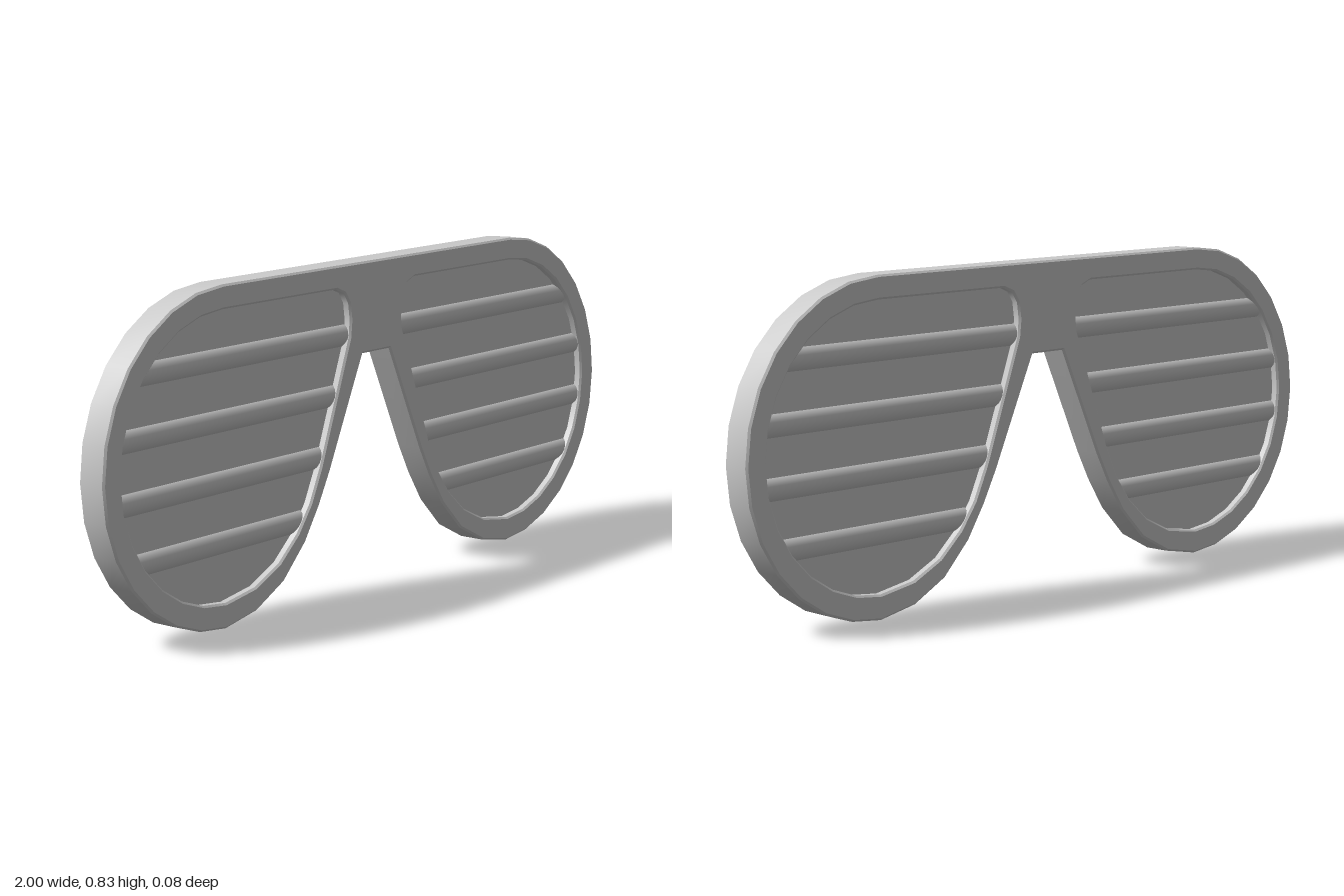
import * as THREE from 'three';
import { toCreasedNormals } from 'three/addons/utils/BufferGeometryUtils.js';

const CX = 0.584;   // x of each lens centre
const material = new THREE.MeshStandardMaterial({ color: 0xcccccc });

// Half ellipse from the top, around the outer side, to the bottom
function outerArc(cy, rx, ry, steps = 14) {
  const pts = [];
  for (let i = 0; i <= steps; i++) {
    const a = Math.PI / 2 - (Math.PI * i) / steps;
    pts.push(new THREE.Vector2(CX + rx * Math.cos(a), cy + ry * Math.sin(a)));
  }
  return pts;
}

const toPoints = list => list.map(([x, y]) => new THREE.Vector2(x, y));
const mirror = pts => pts.map(p => new THREE.Vector2(-p.x, p.y)).reverse();

// Extrude centred on z = 0, with a small bevel kept inside the outline
function slab(shape, thickness, bevel) {
  const geo = new THREE.ExtrudeGeometry(shape, {
    depth: thickness - 2 * bevel,
    bevelEnabled: bevel > 0,
    bevelSize: bevel, bevelThickness: bevel, bevelOffset: -bevel, bevelSegments: 1,
  });
  geo.translate(0, 0, -thickness / 2 + bevel);
  return toCreasedNormals(geo, 0.6);
}

// Smallest and largest x of a closed outline at height y
function spanAt(pts, y) {
  const xs = [];
  pts.forEach((a, i) => {
    const b = pts[(i + 1) % pts.length];
    if ((a.y - y) * (b.y - y) < 0) xs.push(a.x + ((b.x - a.x) * (y - a.y)) / (b.y - a.y));
  });
  return [Math.min(...xs), Math.max(...xs)];
}

export function createModel() {
  const group = new THREE.Group();
  const add = (geo, name, parent = group) => {
    const mesh = new THREE.Mesh(geo, material);
    mesh.name = name;
    parent.add(mesh);
    return mesh;
  };

  // Outline of one half of the frame, from brow to nose bridge
  const half = [
    ...outerArc(0.416, 0.416, 0.416),
    ...toPoints([[0.47, 0.021], [0.368, 0.073], [0.285, 0.156], [0.23, 0.24], [0.187, 0.32], [0.055, 0.6]]),
  ];

  // Lens opening
  const opening = [
    ...outerArc(0.418, 0.356, 0.355),
    ...toPoints([[0.475, 0.08], [0.385, 0.122], [0.315, 0.183], [0.265, 0.25], [0.225, 0.334],
      [0.109, 0.645], [0.104, 0.69], [0.11, 0.733], [0.128, 0.76], [0.16, 0.773]]),
  ];

  // Frame with two openings, wound opposite to the outline
  const frame = new THREE.Shape([...half, ...mirror(half)]);
  for (const hole of [opening, mirror(opening)]) frame.holes.push(new THREE.Path([...hole].reverse()));
  add(slab(frame, 0.078, 0.005), 'frame');

  for (const side of [1, -1]) {
    const lens = new THREE.Group();
    lens.name = side > 0 ? 'leftLens' : 'rightLens';
    group.add(lens);

    // Thin recessed panel filling the opening
    const outline = side > 0 ? opening : mirror(opening);
    add(slab(new THREE.Shape(outline), 0.036, 0), 'panel', lens);

    // Round shutter slats, ends sunk into the frame
    for (let i = 0; i < 4; i++) {
      const y = 0.207 + i * 0.148;
      const [x0, x1] = spanAt(outline, y);
      const bar = new THREE.CylinderGeometry(0.033, 0.033, x1 - x0 + 0.03, 20);
      bar.rotateZ(Math.PI / 2);
      add(bar, 'slat', lens).position.set((x0 + x1) / 2, y, 0);
    }
  }
  return group;
}
